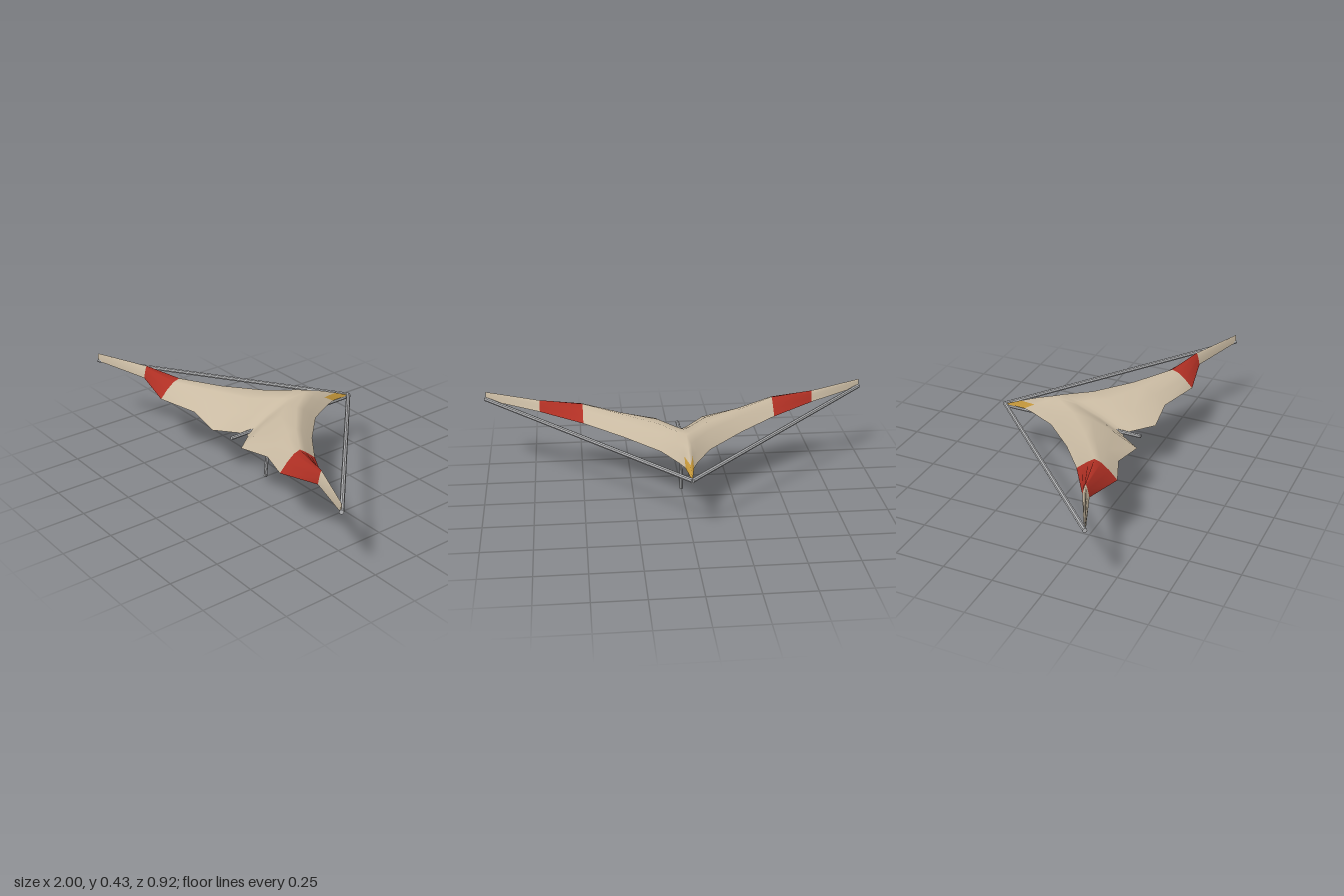
import * as THREE from 'three';

const cream = new THREE.MeshStandardMaterial({ color: 0xc9baa2, side: THREE.DoubleSide });
cream.name = 'cream cloth';
const red = new THREE.MeshStandardMaterial({ color: 0xb03024, side: THREE.DoubleSide });
red.name = 'red cloth';
const yellow = new THREE.MeshStandardMaterial({ color: 0xc4973a, side: THREE.DoubleSide });
yellow.name = 'yellow beak';
const grey = new THREE.MeshStandardMaterial({ color: 0xb2b3b5, flatShading: true });
grey.name = 'grey tube';

// Half-span stations: x, then z and y of the leading edge, ridge and trailing edge
const stations = [
  [0.00, -0.45, 0.297, -0.16, 0.410, 0.21, 0.275],
  [0.02, -0.33, 0.308, -0.14, 0.410, 0.215, 0.277],
  [0.045, -0.27, 0.309, -0.11, 0.409, 0.245, 0.28],
  [0.12, -0.13, 0.311, -0.01, 0.408, 0.33, 0.29],
  [0.30, 0.04, 0.326, 0.14, 0.409, 0.31, 0.312],
  [0.49, 0.18, 0.347, 0.27, 0.419, 0.385, 0.335],
  [0.71, 0.31, 0.368, 0.325, 0.426, 0.345, 0.362],
  [0.99, 0.446, 0.392, 0.45, 0.434, 0.454, 0.392],
];

// Share of the way [along, up] on the front and rear slopes of each section
const front = [[0, 0], [0.31, 0.35], [0.65, 0.7], [1, 1]];
const rear = [[0.3, 0.13], [0.65, 0.5], [1, 1]];

function makeSail() {
  const left = stations.slice(1);
  const all = [...left.map(([x, ...rest]) => [-x, ...rest]).reverse(), ...stations];
  const pos = [], index = [];
  for (const [x, zl, yl, zr, yr, zt, yt] of all) {
    for (const [s, h] of front) pos.push(x, yl + (yr - yl) * h, zl + (zr - zl) * s);
    for (const [s, h] of rear) pos.push(x, yr + (yt - yr) * h, zr + (zt - zr) * s);
  }
  const n = front.length + rear.length;
  const geo = new THREE.BufferGeometry();
  for (let i = 0; i < all.length - 1; i++) {
    const mid = Math.abs(all[i][0] + all[i + 1][0]) / 2;
    for (let j = 0; j < n - 1; j++) {
      const a = i * n + j, b = a + 1, c = a + n, d = c + 1;
      // red band on the outer wing, yellow at the nose
      const paint = mid > 0.5 && mid < 0.7 ? 1 : mid < 0.015 && j === 0 ? 2 : 0;
      geo.addGroup(index.length, 6, paint);
      // mirror the diagonal so that both wings match
      if (all[i][0] < 0) index.push(a, b, d, a, d, c);
      else index.push(a, b, c, b, d, c);
    }
  }
  geo.setAttribute('position', new THREE.Float32BufferAttribute(pos, 3));
  geo.setIndex(index);
  geo.computeVertexNormals();
  const sail = new THREE.Mesh(geo, [cream, red, yellow]);
  sail.name = 'sail';
  return sail;
}

// Straight tube between two points
function tube(name, from, to, radius) {
  const a = new THREE.Vector3(...from), b = new THREE.Vector3(...to);
  const mesh = new THREE.Mesh(new THREE.CylinderGeometry(radius, radius, a.distanceTo(b), 8), grey);
  mesh.position.copy(a).add(b).multiplyScalar(0.5);
  mesh.quaternion.setFromUnitVectors(new THREE.Vector3(0, 1, 0), b.sub(a).normalize());
  mesh.name = name;
  return mesh;
}

export function createModel() {
  const kite = new THREE.Group();
  kite.name = 'birdKite';
  kite.add(makeSail());

  // Leading spars from the nose to each wing tip
  for (const s of [1, -1]) {
    kite.add(tube(s > 0 ? 'leftSpar' : 'rightSpar', [0, 0.299, -0.45], [s * 0.993, 0.394, 0.452], 0.011));
  }
  // Keel under the body, with the hand post hanging from it
  kite.add(tube('keel', [0, 0.291, -0.45], [0, 0.285, 0.3], 0.01));
  kite.add(tube('post', [0, 0.298, 0.065], [0, 0.001, 0.094], 0.009));
  kite.add(tube('postCollar', [0, 0.292, 0.054], [0, 0.292, 0.076], 0.012));
  return kite;
}
